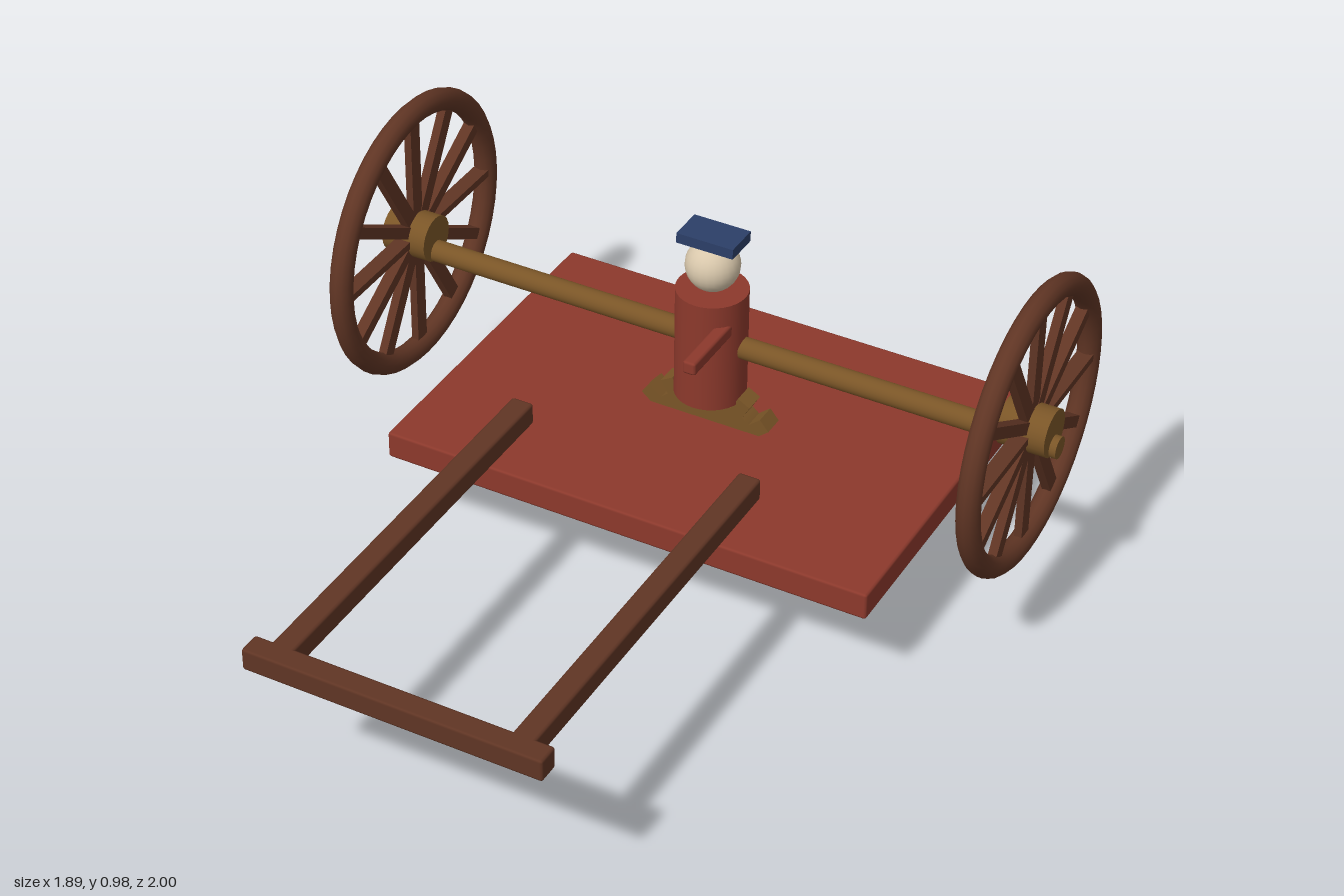
import * as THREE from 'three';
import { RoundedBoxGeometry } from 'three/addons/geometries/RoundedBoxGeometry.js';

const material = (name, color) => new THREE.MeshStandardMaterial({ name, color });

export function createModel() {
  const model = new THREE.Group();
  model.name = 'figureChariot';
  const red = material('red paint', 0x8c392c);
  const wood = material('dark wood', 0x603524);
  const brass = material('brown brass', 0x7a5527);
  const gold = material('light brass', 0x8f6932);
  const skin = material('pale skin', 0xd9c8ac);
  const blue = material('blue cloth', 0x2c3f68);
  const Z = -0.53; // axle line

  function add(parent, name, geometry, mat, x = 0, y = 0, z = 0) {
    const mesh = new THREE.Mesh(geometry, mat);
    mesh.name = name;
    mesh.position.set(x, y, z);
    parent.add(mesh);
    return mesh;
  }
  const beam = (w, h, d) => new RoundedBoxGeometry(w, h, d, 1, 0.007);

  // Platform
  add(model, 'platform', beam(1.34, 0.075, 0.94), red, 0, 0.2875, Z);

  // Draw shafts and crossbar
  for (const side of [-1, 1]) {
    add(model, 'shaft', beam(0.06, 0.06, 1.09), wood, side * 0.315, 0.475, 0.41);
  }
  add(model, 'crossbar', beam(0.785, 0.06, 0.06), wood, 0, 0.475, 0.97);

  // Axle
  add(model, 'axle', new THREE.CylinderGeometry(0.029, 0.029, 1.89, 24), brass, 0, 0.558, Z)
    .rotation.z = Math.PI / 2;

  // Spoked wheels
  for (const side of [-1, 1]) {
    const wheel = new THREE.Group();
    wheel.name = side > 0 ? 'leftWheel' : 'rightWheel';
    wheel.position.set(side * 0.865, 0.595, Z);
    add(wheel, 'rim', new THREE.TorusGeometry(0.355, 0.03, 12, 48), wood).rotation.y = Math.PI / 2;
    add(wheel, 'hub', new THREE.CylinderGeometry(0.0625, 0.0625, 0.125, 24), brass)
      .rotation.z = Math.PI / 2;
    for (let i = 0; i < 12; i++) {
      const a = (i * Math.PI) / 6;
      // Flat spokes turn their broad side gradually around the wheel
      const broad = 0.02 + 0.022 * Math.abs(Math.cos(a));
      const spoke = new THREE.BoxGeometry(0.062 - broad, 0.32, broad);
      add(wheel, 'spoke', spoke, wood, 0, Math.cos(a) * 0.19, Math.sin(a) * 0.19).rotation.x = a;
    }
    model.add(wheel);
  }

  // Gears are built about the y axis, with block teeth around the disc
  function gear(name, radius, thickness, teeth, toothWidth, mat, offset) {
    const group = new THREE.Group();
    group.name = name;
    add(group, 'disc', new THREE.CylinderGeometry(radius, radius, thickness, 48), mat);
    for (let i = 0; i < teeth; i++) {
      const a = ((i + offset) / teeth) * Math.PI * 2;
      const r = radius + 0.015;
      const tooth = new THREE.BoxGeometry(toothWidth, thickness, 0.05);
      add(group, 'tooth', tooth, mat, Math.sin(a) * r, 0, Math.cos(a) * r).rotation.y = a;
    }
    model.add(group);
    return group;
  }
  const flatGear = gear('flatGear', 0.337, 0.045, 36, 0.034, gold, 0);
  flatGear.position.set(0, 0.2275, Z);
  add(flatGear, 'gearHub', new THREE.CylinderGeometry(0.065, 0.065, 0.05, 24), gold, 0, -0.018, 0);
  const uprightGear = gear('uprightGear', 0.18, 0.058, 18, 0.038, brass, 0.5);
  uprightGear.position.set(0, 0.22, Z);
  uprightGear.rotation.x = Math.PI / 2;

  // Standing figure with one arm pointing forward
  const figure = new THREE.Group();
  figure.name = 'figure';
  figure.position.z = Z;
  add(figure, 'body', new THREE.CylinderGeometry(0.093, 0.093, 0.31, 32), red, 0, 0.555, 0);
  add(figure, 'head', new THREE.SphereGeometry(0.07, 24, 16), skin, 0, 0.78, 0);
  add(figure, 'hat', new THREE.BoxGeometry(0.156, 0.028, 0.095), blue, 0, 0.859, 0);
  add(figure, 'arm', beam(0.036, 0.036, 0.24), red, 0.062, 0.633, 0.12);
  model.add(figure);

  return model;
}
